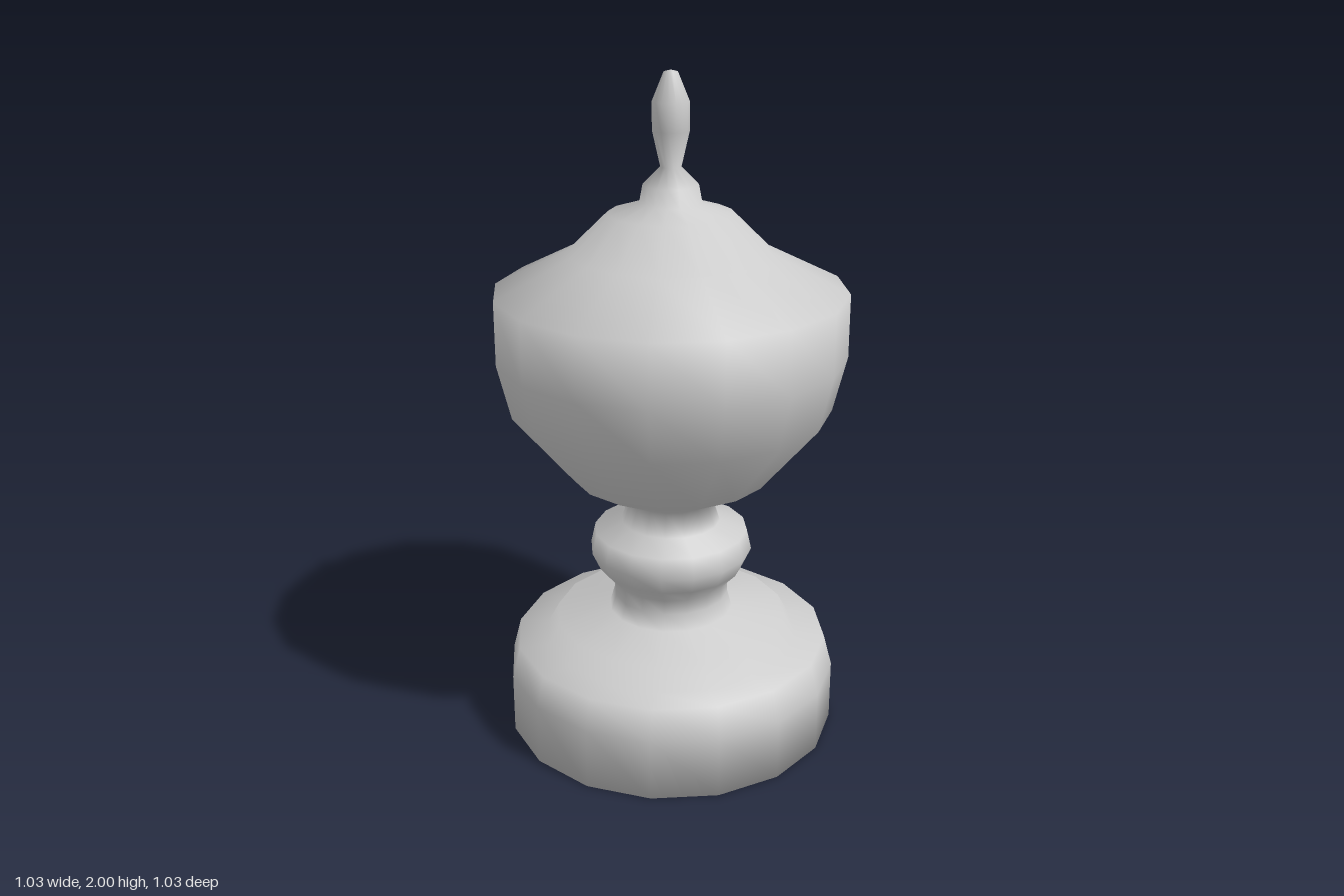
import * as THREE from 'three';

const SIDES = 16;

// Outline [radius, height] of each turned part; each starts where the previous one ends
const PARTS = {
  plinth: [[0, 0], [0.505, 0], [0.505, 0.185], [0.48, 0.28], [0.39, 0.28]],
  foot: [[0.355, 0.345], [0.19, 0.37], [0.175, 0.42], [0.175, 0.465]],
  stemRing: [[0.222, 0.515], [0.247, 0.57], [0.233, 0.632], [0.15, 0.66], [0.125, 0.73]],
  bowl: [[0.298, 0.818], [0.475, 1.03], [0.515, 1.195], [0.515, 1.382]],
  lid: [[0.295, 1.492], [0.18, 1.605], [0.09, 1.633], [0.08, 1.685], [0.03, 1.735]],
  finial: [[0.053, 1.835], [0.053, 1.915], [0.02, 1.995], [0, 2]],
};

export function createModel() {
  const group = new THREE.Group();
  group.name = 'lidded urn';
  const material = new THREE.MeshStandardMaterial({ color: 0xcccccc });

  // One lathe over the full outline keeps shading smooth across the joints
  const profile = Object.values(PARTS).flat().map(([r, y]) => new THREE.Vector2(r, y));
  const lathe = new THREE.LatheGeometry(profile, SIDES);
  const bands = profile.length - 1;
  const index = Array.from(lathe.index.array);

  // Each part takes its own horizontal bands of that lathe
  let start = 0;
  let count = 0;
  for (const [name, points] of Object.entries(PARTS)) {
    count += points.length;
    const end = count - 1;
    const band = (i) => Math.floor(i / 6) % bands;
    const from = start;
    const geometry = lathe.clone();
    geometry.setIndex(index.filter((_, i) => band(i) >= from && band(i) < end));
    const mesh = new THREE.Mesh(geometry.toNonIndexed(), material);
    mesh.name = name;
    group.add(mesh);
    start = end;
  }
  return group;
}
